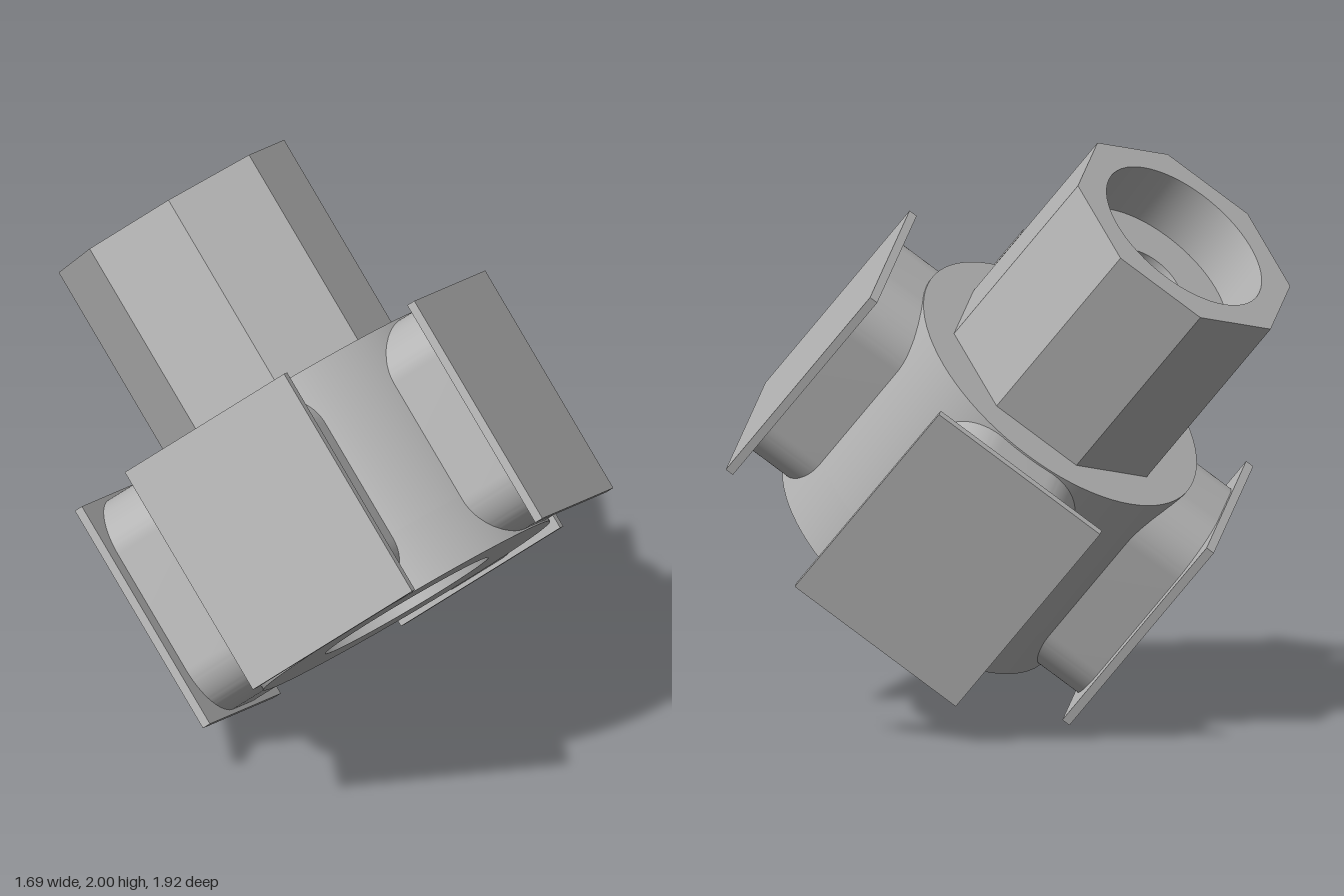
import * as THREE from 'three';
import { toCreasedNormals } from 'three/addons/utils/BufferGeometryUtils.js';

const HUB_R = 0.56, HUB_HALF = 0.416, SHAFT_R = 0.44, SHAFT_TOP = 1.146;
const BORE_R = 0.318, BORE_DEPTH = 0.205, HOLE_R = 0.128;

// Regular polygon outline with corners on radius r
function polygon(r, sides, turn = 0) {
  const points = [];
  for (let i = 0; i < sides; i++) {
    const a = turn + (i / sides) * Math.PI * 2;
    points.push(new THREE.Vector2(Math.cos(a) * r, Math.sin(a) * r));
  }
  return points;
}

// Rectangle with rounded corners, centred on the origin
function roundedRect(w, h, r) {
  const s = new THREE.Shape();
  s.absarc(w - r, h - r, r, 0, Math.PI / 2);
  s.absarc(-w + r, h - r, r, Math.PI / 2, Math.PI);
  s.absarc(-w + r, -h + r, r, Math.PI, Math.PI * 1.5);
  s.absarc(w - r, -h + r, r, Math.PI * 1.5, Math.PI * 2);
  s.closePath();
  return s;
}

export function createModel() {
  const grey = new THREE.MeshStandardMaterial({ color: 0xb4b4b4 });
  grey.name = 'plainGrey';

  const model = new THREE.Group();
  model.name = 'hubWithFourPads';
  const body = new THREE.Group();
  body.name = 'tiltedBody';
  model.add(body);

  const add = (parent, name, geometry) => {
    const mesh = new THREE.Mesh(geometry, grey);
    mesh.name = name;
    parent.add(mesh);
    return mesh;
  };

  // Upright prism with a round hole, from y0 to y1
  const holedPrism = (name, outline, holeR, y0, y1) => {
    const shape = new THREE.Shape(outline);
    shape.holes.push(new THREE.Path(polygon(holeR, 64).reverse()));
    const g = new THREE.ExtrudeGeometry(shape, { depth: y1 - y0, bevelEnabled: false });
    g.rotateX(-Math.PI / 2).translate(0, y0, 0);
    add(body, name, toCreasedNormals(g, 0.5));
  };

  // Round hub and octagonal shaft, each with a wide recess at its open end
  const round = polygon(HUB_R, 80);
  const octagon = polygon(SHAFT_R, 8, Math.PI / 8);
  holedPrism('hubRim', round, BORE_R, -HUB_HALF, -HUB_HALF + BORE_DEPTH);
  holedPrism('hubCore', round, HOLE_R, -HUB_HALF + BORE_DEPTH, HUB_HALF);
  holedPrism('shaftCore', octagon, HOLE_R, HUB_HALF, SHAFT_TOP - BORE_DEPTH);
  holedPrism('shaftRim', octagon, BORE_R, SHAFT_TOP - BORE_DEPTH, SHAFT_TOP);

  // Four arms with rounded corners, each ending in a flat pad
  const armGeometry = toCreasedNormals(
    new THREE.ExtrudeGeometry(roundedRect(0.28, 0.41, 0.185), {
      depth: 0.25, bevelEnabled: false, curveSegments: 16,
    }).translate(0, 0, 0.45), 0.5);
  const padGeometry = new THREE.BoxGeometry(0.68, 0.85, 0.03).translate(0, 0, 0.71);
  for (let i = 0; i < 4; i++) {
    const arm = new THREE.Group();
    arm.name = 'padArm' + (i + 1);
    arm.rotation.y = (i * Math.PI) / 2;
    add(arm, 'arm', armGeometry);
    add(arm, 'pad', padGeometry);
    body.add(arm);
  }

  // Lean the whole body back
  const axis = new THREE.Vector3(-0.15, 0.75, -0.645).normalize();
  const side = new THREE.Vector3(0.555, 0.61, 0.57);
  side.addScaledVector(axis, -side.dot(axis)).normalize();
  const third = new THREE.Vector3().crossVectors(side, axis);
  body.quaternion.setFromRotationMatrix(new THREE.Matrix4().makeBasis(side, axis, third));
  body.position.set(0, 0.855, 0.096);
  return model;
}
